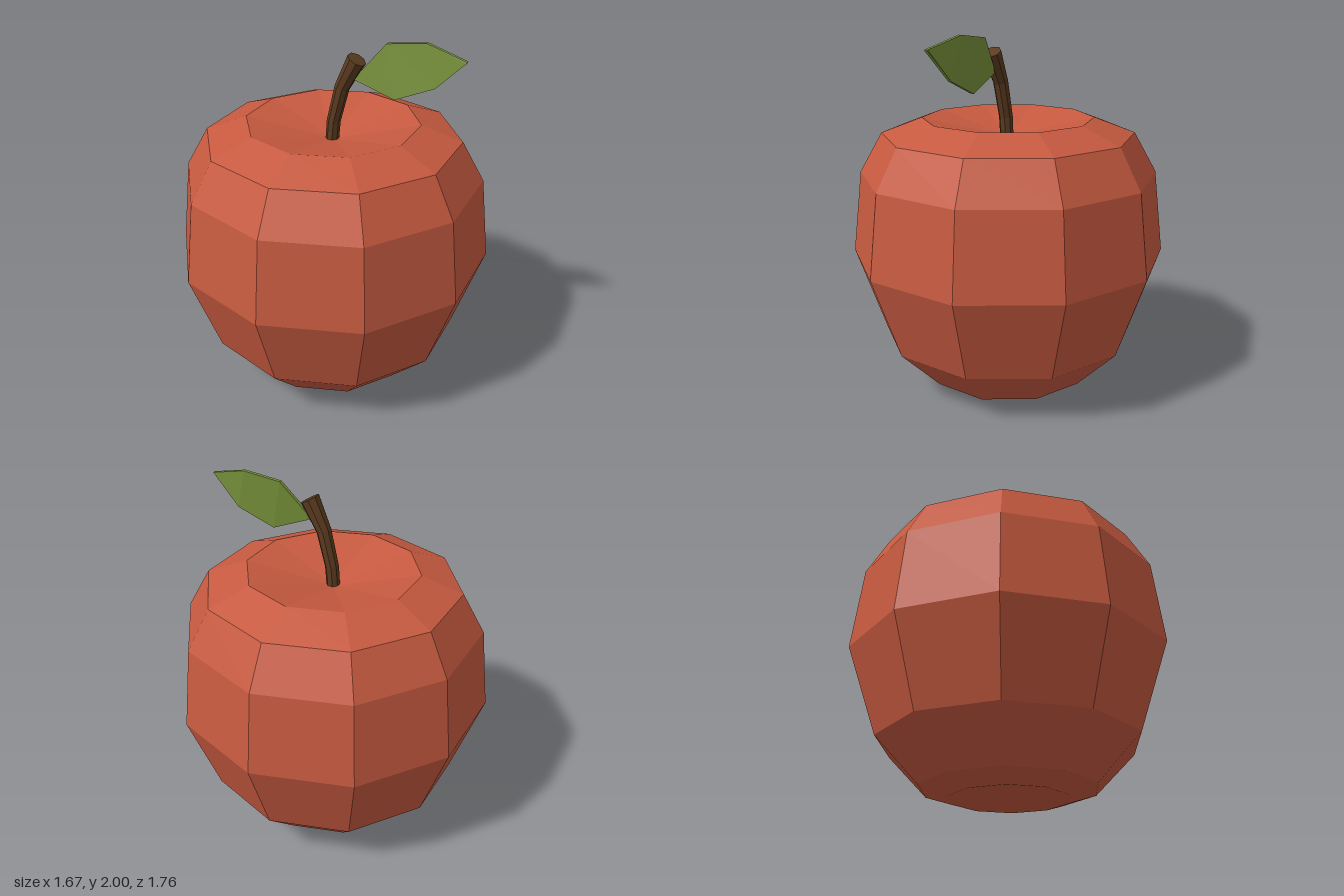
import * as THREE from 'three';

const mat = (name, color, extra = {}) => {
  const m = new THREE.MeshStandardMaterial({ color, flatShading: true, ...extra });
  m.name = name;
  return m;
};

// Skin a list of equal-length point loops and close both ends.
// Loops run counter-clockwise when seen from the far end of the path.
function loft(sections) {
  const n = sections[0].length;
  const last = (sections.length - 1) * n;
  const index = [];
  for (let i = 0; i < sections.length - 1; i++) {
    for (let j = 0; j < n; j++) {
      const k = (j + 1) % n;
      const a = i * n + j, b = i * n + k, c = b + n, d = a + n;
      index.push(a, b, c, a, c, d);
    }
  }
  for (let j = 1; j < n - 1; j++) {
    index.push(0, j + 1, j);
    index.push(last, last + j, last + j + 1);
  }
  const geo = new THREE.BufferGeometry();
  geo.setAttribute('position', new THREE.Float32BufferAttribute(sections.flat(2), 3));
  geo.setIndex(index);
  const flat = geo.toNonIndexed();
  flat.computeVertexNormals();
  return flat;
}

export function createModel() {
  const group = new THREE.Group();
  const add = (name, geo, material) => {
    const mesh = new THREE.Mesh(geo, material);
    mesh.name = name;
    group.add(mesh);
  };

  // Fruit: ten-sided body with a dimple at the top and bottom
  const profile = [
    [0, 0.05], [0.325, 0], [0.48, 0.05], [0.715, 0.29], [0.88, 0.76],
    [0.825, 1.22], [0.7, 1.44], [0.475, 1.525], [0, 1.42],
  ].map(([r, y]) => new THREE.Vector2(r, y));
  add('fruitBody', new THREE.LatheGeometry(profile, 10), mat('red skin', 0xc75a40));

  // Stalk: bent, widening towards the cut end [x, y, radius, tilt]
  const stalk = [
    [0.0, 1.4, 0.036, 0.05], [0.01, 1.53, 0.037, 0.12],
    [0.058, 1.725, 0.04, 0.35], [0.14, 1.888, 0.052, 0.51],
  ].map(([x, y, r, t]) => Array.from({ length: 8 }, (_, j) => {
    const a = ((j + 0.5) / 8) * Math.PI * 2;
    const u = r * Math.cos(a);
    return [x + u * Math.cos(t), y - u * Math.sin(t), 0.008 - r * 1.06 * Math.sin(a)];
  }));
  add('stalk', loft(stalk), mat('brown bark', 0x5b3b20));

  // Leaf: thin curved blade [lower x, y, z, upper x, y, z] from base to tip
  const thick = 0.02;
  const leaf = [
    [0.127, 1.78, 0.015, 0.13, 1.79, 0.012],
    [0.345, 1.695, -0.012, 0.28, 1.975, -0.04],
    [0.55, 1.78, -0.035, 0.49, 2.0, -0.055],
    [0.705, 1.937, -0.025, 0.708, 1.943, -0.027],
  ].map(([lx, ly, lz, ux, uy, uz]) => [
    [lx, ly, lz - thick], [ux, uy, uz - thick], [ux, uy, uz], [lx, ly, lz],
  ]);
  add('leaf', loft(leaf), mat('leaf green', 0x78923b, { side: THREE.DoubleSide }));

  return group;
}
